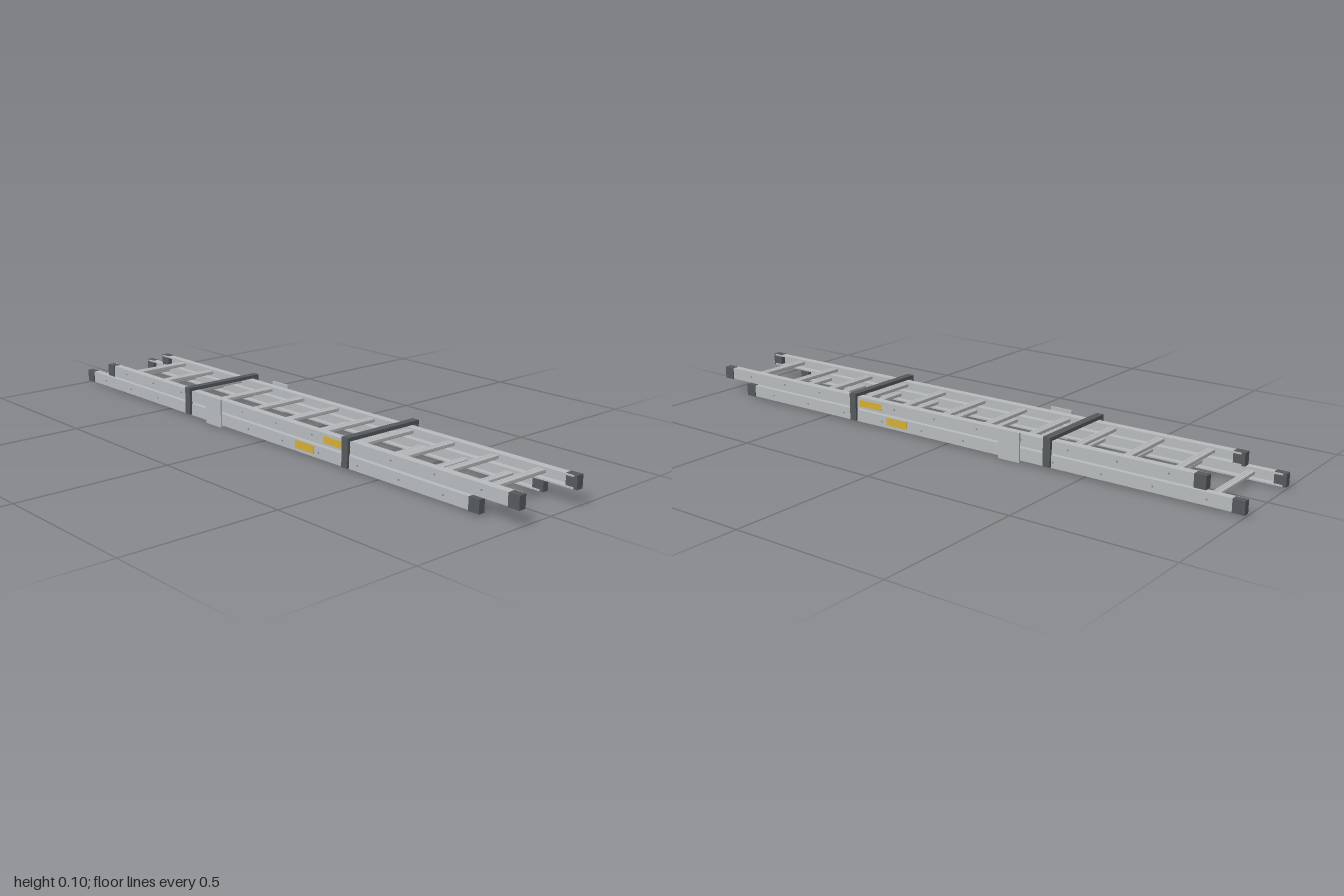
import * as THREE from 'three';

const mat = (name, color) => {
  const m = new THREE.MeshStandardMaterial({ color });
  m.name = name;
  return m;
};

export function createModel() {
  const aluminium = mat('aluminium', 0xb6babc);
  const rungMetal = mat('rung metal', 0xbcbdc0);
  const rubber = mat('dark rubber', 0x55595c);
  const rivetGrey = mat('rivet grey', 0x85898c);
  const yellow = mat('label yellow', 0xd4ac35);

  const root = new THREE.Group();
  root.name = 'extensionLadder';

  const add = (parent, name, geometry, material) => {
    const mesh = new THREE.Mesh(geometry, material);
    mesh.name = name;
    parent.add(mesh);
    return mesh;
  };
  // Box given by its extents, mirrored to whichever side is asked for
  const box = (parent, name, material, side, x0, x1, y0, y1, z0, z1) => {
    const b = add(parent, name, new THREE.BoxGeometry(x1 - x0, y1 - y0, z1 - z0), material);
    b.position.set(side * (x0 + x1) / 2, (y0 + y1) / 2, (z0 + z1) / 2);
    return b;
  };
  const shapeOf = (points) => new THREE.Shape(points.map(([x, y]) => new THREE.Vector2(x, y)));

  // Rung profile: chamfered, with two shallow tread grooves above and below
  const top = [[0.012, 0.004], [0.0095, 0.0065], [0.0055, 0.0065], [0.0045, 0.005], [0.0025, 0.005],
    [0.0015, 0.0065], [-0.0015, 0.0065], [-0.0025, 0.005], [-0.0045, 0.005], [-0.0055, 0.0065],
    [-0.0095, 0.0065], [-0.012, 0.004]];
  const rungShape = shapeOf([...top, ...top.map(([x, y]) => [-x, -y])]);

  // One ladder section: two inward-facing channels, rungs, end caps and rivets
  function section({ name, inner, outer, y0, y1, z0, z1, rungY, firstRung, label }) {
    const g = new THREE.Group();
    g.name = name;
    root.add(g);
    const web = 0.005, flange = 0.0045;

    for (const side of [-1, 1]) {
      // C-channel rail
      const s = (x) => side * x;
      const rail = add(g, 'rail', new THREE.ExtrudeGeometry(shapeOf([
        [s(inner), y0], [s(outer), y0], [s(outer), y1], [s(inner), y1],
        [s(inner), y1 - flange], [s(outer - web), y1 - flange],
        [s(outer - web), y0 + flange], [s(inner), y0 + flange],
      ]), { depth: z1 - z0 - 0.02, bevelEnabled: false }), aluminium);
      rail.position.z = z0 + 0.01;

      // End caps
      for (const [a, b] of [[z0, z0 + 0.037], [z1 - 0.037, z1]]) {
        box(g, 'endCap', rubber, side, inner + 0.004, outer + 0.003, y0 - 0.001, y1 + 0.001, a, b);
      }
      // Label plate
      box(g, 'label', yellow, side, outer, outer + 0.0015, ...label);
    }

    for (let i = 0; i < 11; i++) {
      const z = firstRung + i * 0.164;
      const length = 2 * (outer - web + 0.001);
      const geo = new THREE.ExtrudeGeometry(rungShape, { depth: length, bevelEnabled: false });
      geo.translate(0, 0, -length / 2).rotateY(Math.PI / 2);
      add(g, 'rung', geo, rungMetal).position.set(0, rungY, z);
      for (const side of [-1, 1]) {
        const rivet = add(g, 'rivet', new THREE.CylinderGeometry(0.003, 0.003, 0.0014, 10), rivetGrey);
        rivet.rotation.z = Math.PI / 2;
        rivet.position.set(side * (outer + 0.0002), rungY, z);
      }
    }
  }

  section({
    name: 'baseSection', inner: 0.117, outer: 0.1395, y0: 0.007, y1: 0.0455, z0: -1, z1: 0.88,
    rungY: 0.025, firstRung: -0.888, label: [0.017, 0.042, 0.155, 0.24],
  });
  section({
    name: 'flySection', inner: 0.102, outer: 0.128, y0: 0.0475, y1: 0.086, z0: -0.88, z1: 1,
    rungY: 0.0685, firstRung: -0.767, label: [0.055, 0.077, 0.27, 0.365],
  });

  // Dark straps bridging both sections
  for (const z of [-0.378, 0.378]) {
    const strap = new THREE.Group();
    strap.name = 'strap';
    root.add(strap);
    box(strap, 'strapTop', rubber, 1, -0.147, 0.147, 0.089, 0.1, z - 0.0125, z + 0.0125);
    for (const side of [-1, 1]) {
      box(strap, 'strapLeg', rubber, side, 0.1375, 0.147, 0.009, 0.0895, z - 0.0125, z + 0.0125);
    }
  }

  // Side guide plates with a lip under the base rail
  for (const side of [-1, 1]) {
    box(root, 'guidePlate', aluminium, side, 0.1385, 0.1445, 0, 0.093, -0.28, -0.203);
    box(root, 'guideLip', aluminium, side, 0.127, 0.14, 0, 0.0065, -0.274, -0.209);
  }

  return root;
}
